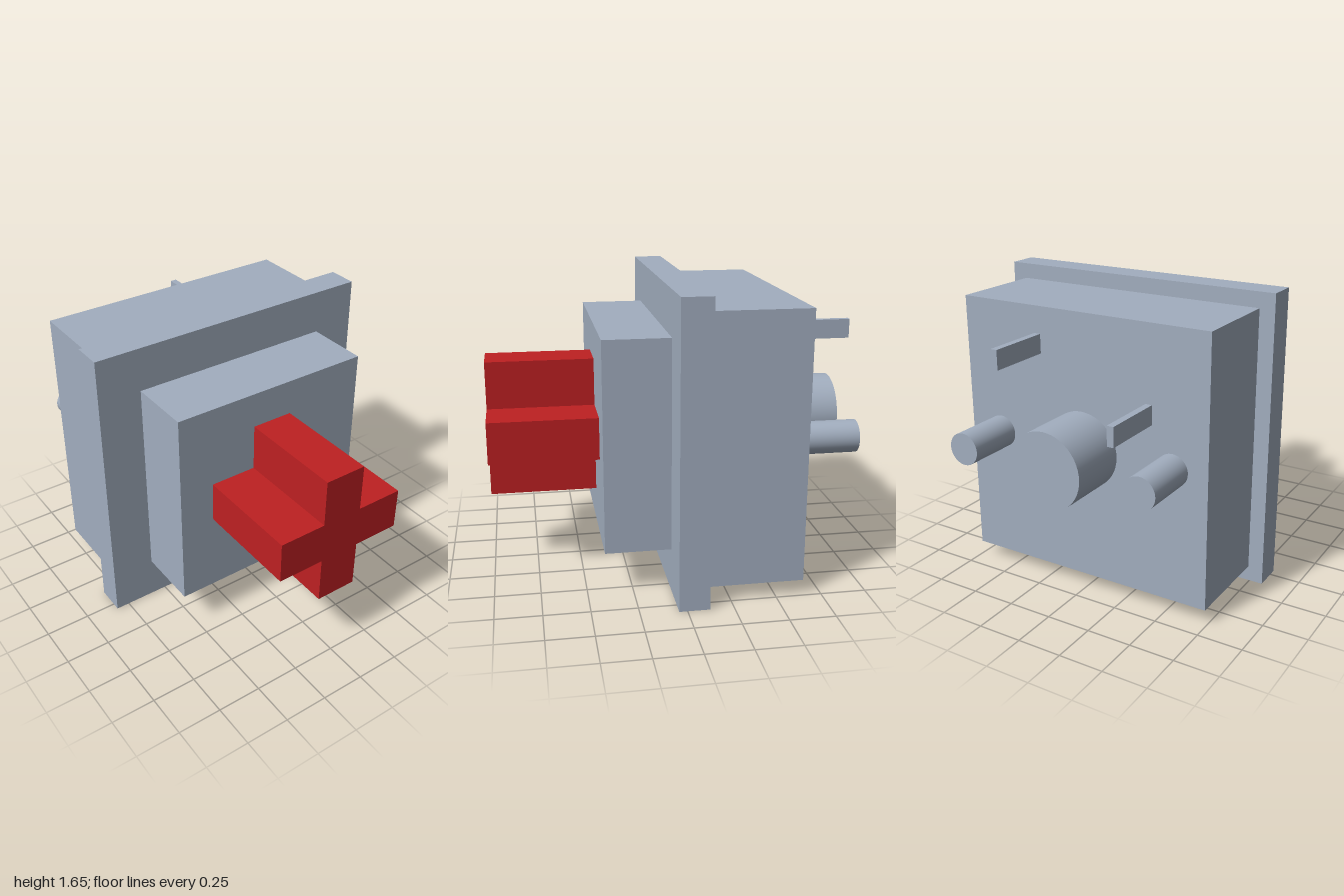
import * as THREE from 'three';

export function createModel() {
  const model = new THREE.Group();
  const grey = new THREE.MeshStandardMaterial({ color: 0xa2aebf });
  grey.name = 'housing grey';
  const red = new THREE.MeshStandardMaterial({ color: 0xbe2022 });
  red.name = 'stem red';
  const midY = 0.826;

  const add = (name, geometry, material, x, y, z) => {
    const mesh = new THREE.Mesh(geometry, material);
    mesh.name = name;
    mesh.position.set(x, y, z);
    model.add(mesh);
  };
  // Box and round post spanning z0 to z1
  const block = (name, w, h, x, y, z0, z1) =>
    add(name, new THREE.BoxGeometry(w, h, z1 - z0), grey, x, y, (z0 + z1) / 2);
  const post = (name, r, x, z0, z1) =>
    add(name, new THREE.CylinderGeometry(r, r, z1 - z0, 48).rotateX(Math.PI / 2), grey, x, midY, (z0 + z1) / 2);

  // Stepped housing
  block('upperHousing', 1.162, 1.162, 0, midY, 0.045, 0.405);
  block('flange', 1.652, 1.652, 0, midY, -0.12, 0.045);
  block('lowerHousing', 1.48, 1.48, 0, midY, -0.65, -0.12);

  // Posts on the back
  post('centrePost', 0.211, 0, -0.987, -0.65);
  for (const side of [-1, 1]) {
    post(side > 0 ? 'leftPost' : 'rightPost', 0.089, side * 0.538, -0.968, -0.65);
  }

  // Flat contact pins
  block('rightPin', 0.037, 0.105, -0.402, 1.097, -1, -0.65);
  block('leftPin', 0.037, 0.105, 0.268, 1.366, -1, -0.65);

  // Cross-shaped stem: one arm outline turned through four quarters
  const a = 0.117, b = 0.382;
  const points = [];
  for (let i = 0; i < 4; i++) {
    for (const [x, y] of [[b, -a], [b, a], [a, a]]) {
      points.push(new THREE.Vector2(x, y).rotateAround(new THREE.Vector2(), i * Math.PI / 2));
    }
  }
  const cross = new THREE.ExtrudeGeometry(new THREE.Shape(points), { depth: 0.595, bevelEnabled: false });
  add('stem', cross, red, 0, midY, 0.405);

  return model;
}
